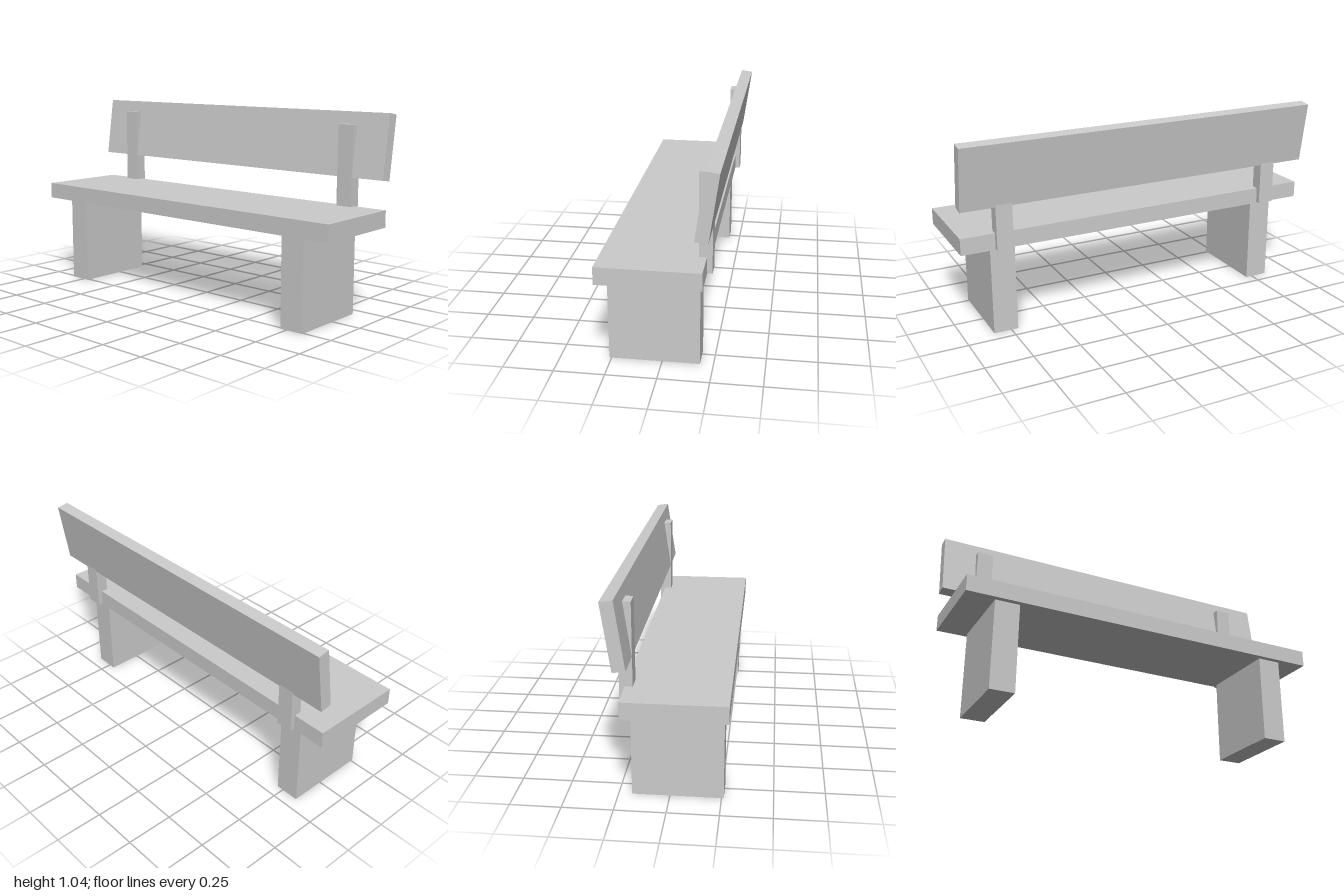
import * as THREE from 'three';

export function createModel() {
  const bench = new THREE.Group();
  bench.name = 'bench';
  const material = new THREE.MeshStandardMaterial({ color: 0xcccccc, flatShading: true });

  const addBox = (name, size, position) => {
    const mesh = new THREE.Mesh(new THREE.BoxGeometry(...size), material);
    mesh.name = name;
    mesh.position.set(...position);
    bench.add(mesh);
    return mesh;
  };

  // Seat slab
  addBox('seat', [2, 0.088, 0.501], [0, 0.513, 0.0385]);

  // Backrest board, leaning backwards
  const backrest = addBox('backrest', [2, 0.3325, 0.0637], [0, 0.868, -0.2295]);
  backrest.rotation.x = -0.145;

  // Slab legs and upright back posts, mirrored
  for (const [side, s] of [['left', 1], ['right', -1]]) {
    addBox(side + 'Leg', [0.13, 0.469, 0.446], [s * 0.778, 0.2345, 0.038]);
    addBox(side + 'BackPost', [0.087, 0.5, 0.065], [s * 0.778, 0.7245, -0.206]);
  }
  return bench;
}
